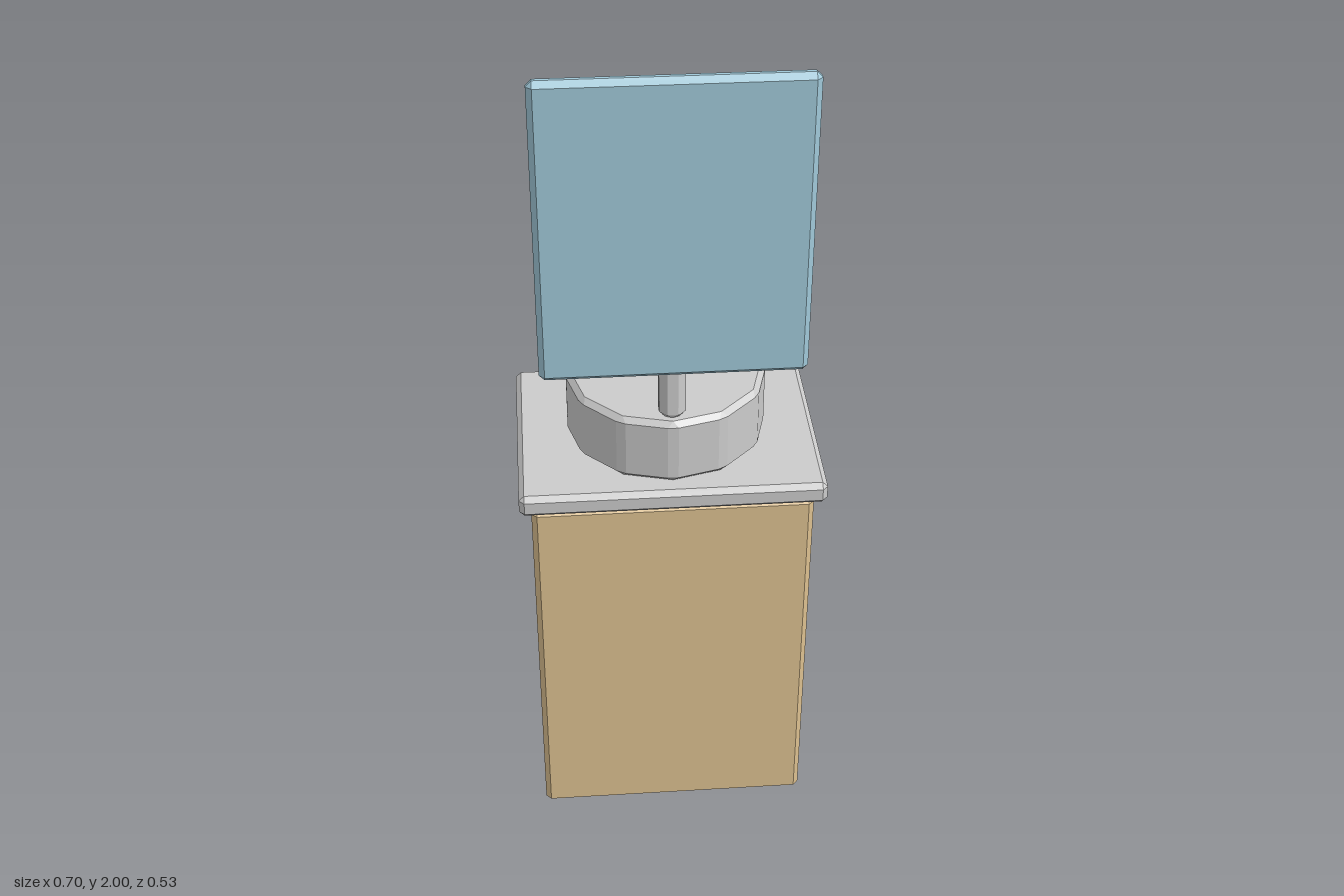
import * as THREE from 'three';
import { ConvexGeometry } from 'three/addons/geometries/ConvexGeometry.js';

const BEVEL = 0.0125;

// Box with every edge chamfered, standing on its local y = 0.
function bevelBox(w, h, d, b = BEVEL) {
  const points = [];
  for (const sx of [-1, 1]) for (const sy of [-1, 1]) for (const sz of [-1, 1]) {
    for (let axis = 0; axis < 3; axis++) {
      const inset = [b, b, b];
      inset[axis] = 0;
      points.push(new THREE.Vector3(
        sx * (w / 2 - inset[0]), h / 2 + sy * (h / 2 - inset[1]), sz * (d / 2 - inset[2])));
    }
  }
  return new ConvexGeometry(points);
}

// Prism with chamfered rims and chamfered upright edges, standing on y = 0.
function bevelPrism(radius, h, sides, b = BEVEL) {
  const points = [];
  const corner = (i, r) => {
    const a = (i / sides) * Math.PI * 2;
    return new THREE.Vector3(Math.sin(a) * r, 0, Math.cos(a) * r);
  };
  const t = b / (2 * radius * Math.sin(Math.PI / sides));
  const inner = radius - b / Math.cos(Math.PI / sides);
  for (let i = 0; i < sides; i++) {
    for (const y of [0, h]) points.push(corner(i, inner).setY(y));
    for (const y of [b, h - b]) for (const step of [-1, 1]) {
      points.push(corner(i, radius).lerp(corner(i + step, radius), t).setY(y));
    }
  }
  return new ConvexGeometry(points);
}

export function createModel() {
  const model = new THREE.Group();
  model.name = 'pedestalWithPanel';

  const material = color => new THREE.MeshStandardMaterial({ color, flatShading: true });
  const grey = material(0xcccccc);
  const tan = material(0xdcc090);
  const blue = material(0xa0c8d8);

  const add = (name, geometry, mat, y, z = 0) => {
    const mesh = new THREE.Mesh(geometry, mat);
    mesh.name = name;
    mesh.position.set(0, y, z);
    model.add(mesh);
  };

  // Cabinet and its overhanging top
  add('cabinet', bevelBox(0.65, 0.943, 0.49), tan, 0);
  add('countertop', bevelBox(0.704, 0.055, 0.53), grey, 0.943);

  // Twelve-sided drum
  add('drum', bevelPrism(0.235, 0.163, 12), grey, 1.002);

  // Post at the front of the drum, carrying the upright panel
  add('post', bevelPrism(0.035, 0.26, 8), grey, 1.165, 0.187);
  add('panel', bevelBox(0.586, 0.7, 0.034), blue, 1.3, 0.233);

  return model;
}
